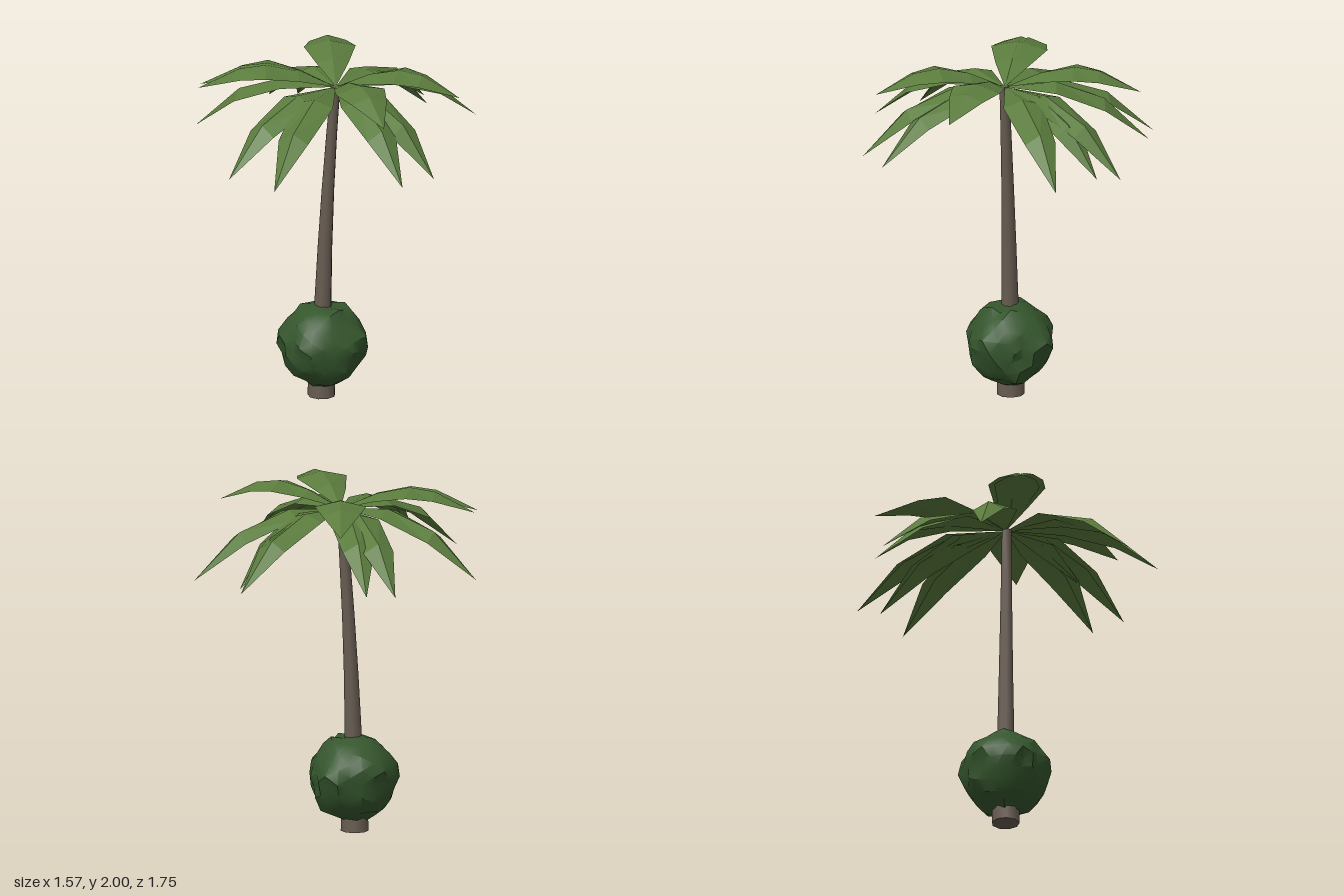
import * as THREE from 'three';
import { toCreasedNormals } from 'three/addons/utils/BufferGeometryUtils.js';

const leafGreen = new THREE.MeshStandardMaterial({ color: 0x5a7b3d, side: THREE.DoubleSide });
leafGreen.name = 'leafGreen';
const bushGreen = new THREE.MeshStandardMaterial({ color: 0x35562d });
bushGreen.name = 'bushGreen';
const barkBrown = new THREE.MeshStandardMaterial({ color: 0x675c51 });
barkBrown.name = 'barkBrown';

const CROWN = new THREE.Vector3(0.055, 1.865, -0.01);

// Cross-sections along a frond: [fraction of length, half width, ridge y, edge y]
const UPPER = [[0, 0, 1.865, 1.865], [0.27, 0.09, 1.96, 1.93], [0.51, 0.147, 2.0, 1.965], [0.7, 0.105, 1.98, 1.945], [1, 0, 1.865, 1.865]];
const LOWER = [[0, 0, 1.865, 1.865], [0.35, 0.115, 1.89, 1.855], [0.69, 0.09, 1.785, 1.735], [1, 0, 1.53, 1.53]];

// Frond tips in plan [x, z]
const UPPER_TIPS = [[0.78, -0.01], [0.495, 0.59], [-0.695, 0.205], [-0.7, 0.14], [-0.205, -0.74]];
const LOWER_TIPS = [[0.345, -0.88], [0.395, -0.755], [0.71, -0.65], [0.745, 0.43], [0.61, 0.615],
  [-0.075, 0.87], [-0.375, 0.735], [-0.785, -0.085], [-0.51, -0.67], [-0.355, -0.72]];

// Ridged leaf that runs from the crown to its tip
function frond(name, [tx, tz], sections) {
  const dx = tx - CROWN.x, dz = tz - CROWN.z, len = Math.hypot(dx, dz);
  const px = dz / len, pz = -dx / len;
  const pos = [], index = [];
  sections.forEach(([t, w, ridge, edge], i) => {
    for (const s of [-1, 0, 1]) {
      pos.push(CROWN.x + dx * t + px * w * s, s ? edge : ridge, CROWN.z + dz * t + pz * w * s);
    }
    if (i === 0) return;
    const a = (i - 1) * 3, b = i * 3;
    for (const k of [0, 1]) {
      if (i > 1) index.push(a + k, a + k + 1, b + k);
      else index.push(a, b + k + 1, b + k);
      if (i > 1 && i < sections.length - 1) index.push(a + k + 1, b + k + 1, b + k);
    }
  });
  const indexed = new THREE.BufferGeometry();
  indexed.setAttribute('position', new THREE.Float32BufferAttribute(pos, 3));
  indexed.setIndex(index);
  const geo = indexed.toNonIndexed();
  geo.computeVertexNormals();
  const mesh = new THREE.Mesh(geo, leafGreen);
  mesh.name = name;
  return mesh;
}

// Tapered trunk, bent towards the crown
function trunk() {
  const profile = [[0, 0], [0.08, 0], [0.077, 0.12], [0.058, 0.3], [0.049, 0.56], [0.042, 0.9],
    [0.036, 1.25], [0.031, 1.6], [0.028, 1.87], [0, 1.875]];
  const geo = new THREE.LatheGeometry(profile.map(([r, y]) => new THREE.Vector2(r, y)), 9);
  const p = geo.attributes.position;
  for (let i = 0; i < p.count; i++) {
    const t = p.getY(i) / 1.87;
    p.setX(i, p.getX(i) - 0.027 + 0.082 * Math.pow(t, 1.9));
    p.setZ(i, p.getZ(i) - 0.006);
  }
  const mesh = new THREE.Mesh(toCreasedNormals(geo, 0.9), barkBrown);
  mesh.name = 'trunk';
  return mesh;
}

// Lumpy shrub: a sphere with small dents and a few pointed lumps
function shrub() {
  const spikes = [[1, 0.18, 0.1, 0.06], [-1, 0.2, 0.2, 0.05], [-0.1, 0.18, 1, 0.05], [0.1, 0.18, -1, 0.06],
    [0.6, -0.6, -0.6, 0.04], [-0.7, -0.6, 0.2, 0.03], [-0.75, 0.3, -0.6, 0.04], [0.5, -0.5, 0.7, 0.03]]
    .map(([x, y, z, h]) => ({ dir: new THREE.Vector3(x, y, z).normalize(), h }));
  const geo = new THREE.IcosahedronGeometry(1, 3);
  const p = geo.attributes.position, v = new THREE.Vector3();
  for (let i = 0; i < p.count; i++) {
    v.fromBufferAttribute(p, i).normalize();
    const dent = 0.014 * Math.sin(v.x * 9 + v.y * 5) * Math.cos(v.z * 10 - v.y * 4)
      + 0.01 * Math.sin(v.x * 17 - v.z * 13 + v.y * 19);
    let r = 0.238 + dent;
    for (const { dir, h } of spikes) r += h * Math.max(0, 1 - v.angleTo(dir) / 0.42);
    p.setXYZ(i, -0.02 + v.x * r, Math.min(0.56, 0.315 + v.y * r * 1.04), -0.005 + v.z * r);
  }
  const mesh = new THREE.Mesh(toCreasedNormals(geo, 0.55), bushGreen);
  mesh.name = 'shrub';
  return mesh;
}

export function createModel() {
  const model = new THREE.Group();
  model.name = 'palmTree';
  const crown = new THREE.Group();
  crown.name = 'crown';
  UPPER_TIPS.forEach((tip, i) => crown.add(frond(`upperFrond${i + 1}`, tip, UPPER)));
  LOWER_TIPS.forEach((tip, i) => crown.add(frond(`lowerFrond${i + 1}`, tip, LOWER)));
  model.add(trunk(), shrub(), crown);
  return model;
}
